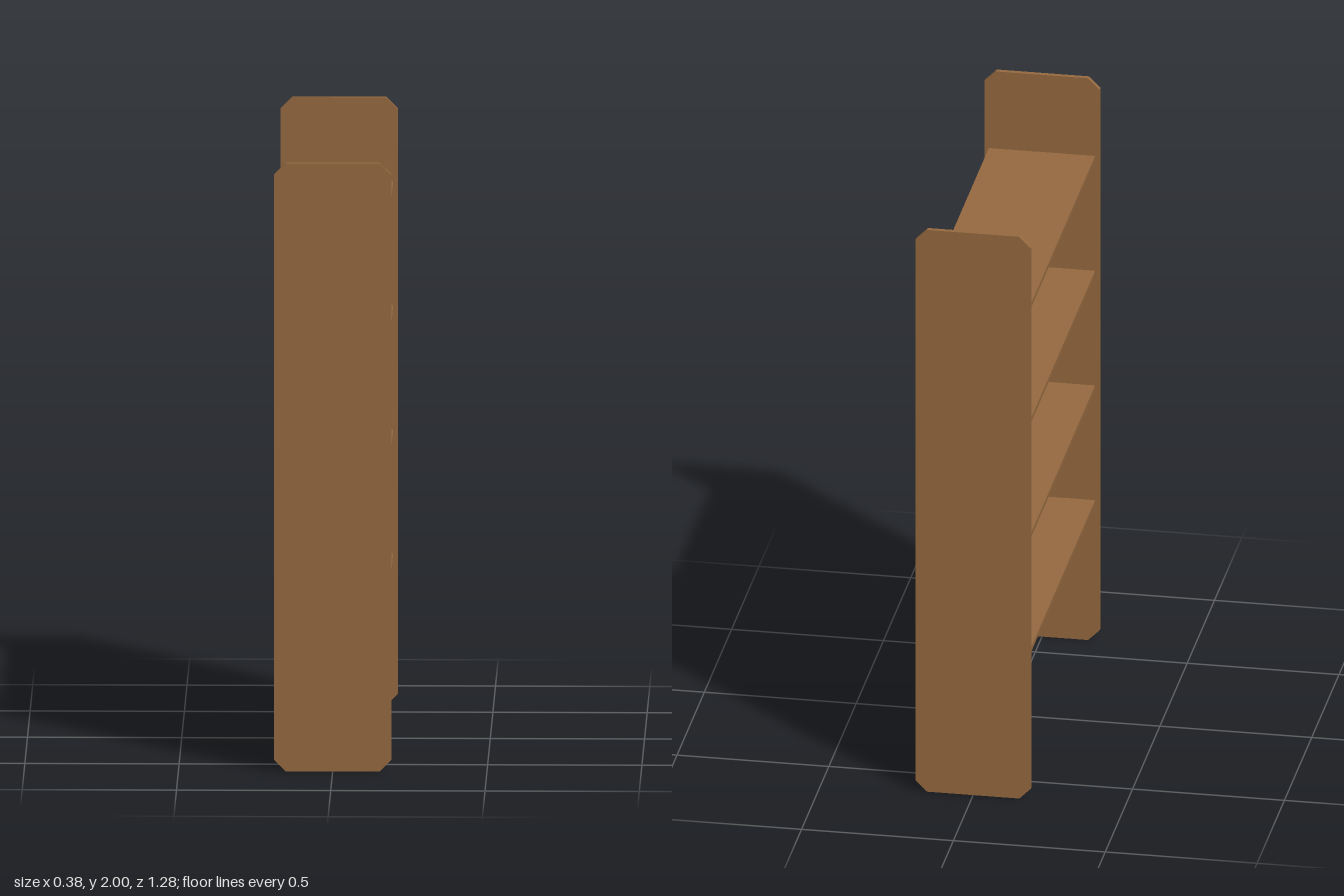
import * as THREE from 'three';

export function createModel() {
  const wood = new THREE.MeshStandardMaterial({ color: 0x966a40 });
  const model = new THREE.Group();
  model.name = 'shelfUnit';

  const halfWidth = 0.19, height = 2, chamfer = 0.038;
  const outerZ = 0.638, thickness = 0.016, innerZ = outerZ - thickness;

  // Upright side panel outline with cut corners
  const w = halfWidth, c = chamfer;
  const outline = new THREE.Shape([
    [-w + c, 0], [w - c, 0], [w, c], [w, height - c],
    [w - c, height], [-w + c, height], [-w, height - c], [-w, c],
  ].map(([x, y]) => new THREE.Vector2(x, y)));
  const panelGeometry = new THREE.ExtrudeGeometry(outline, { depth: thickness, bevelEnabled: false });

  const add = (name, geometry, x, y, z) => {
    const mesh = new THREE.Mesh(geometry, wood);
    mesh.name = name;
    mesh.position.set(x, y, z);
    model.add(mesh);
  };

  add('frontPanel', panelGeometry, 0, 0, innerZ);
  add('backPanel', panelGeometry, 0, 0, -outerZ);

  // Four shelves, each resting on a cleat at either end
  const shelfGeometry = new THREE.BoxGeometry(0.35, thickness, innerZ * 2);
  const cleatHeight = 0.021, cleatDepth = 0.047;
  const cleatGeometry = new THREE.BoxGeometry(0.32, cleatHeight, cleatDepth);
  for (let i = 0; i < 4; i++) {
    const top = 0.5 + i * 0.4085;
    add(`shelf${i + 1}`, shelfGeometry, 0, top - thickness / 2, 0);
    for (const side of [1, -1]) {
      add(`${side > 0 ? 'front' : 'back'}Cleat${i + 1}`, cleatGeometry,
        0, top - thickness - cleatHeight / 2, side * (innerZ - cleatDepth / 2));
    }
  }
  return model;
}
